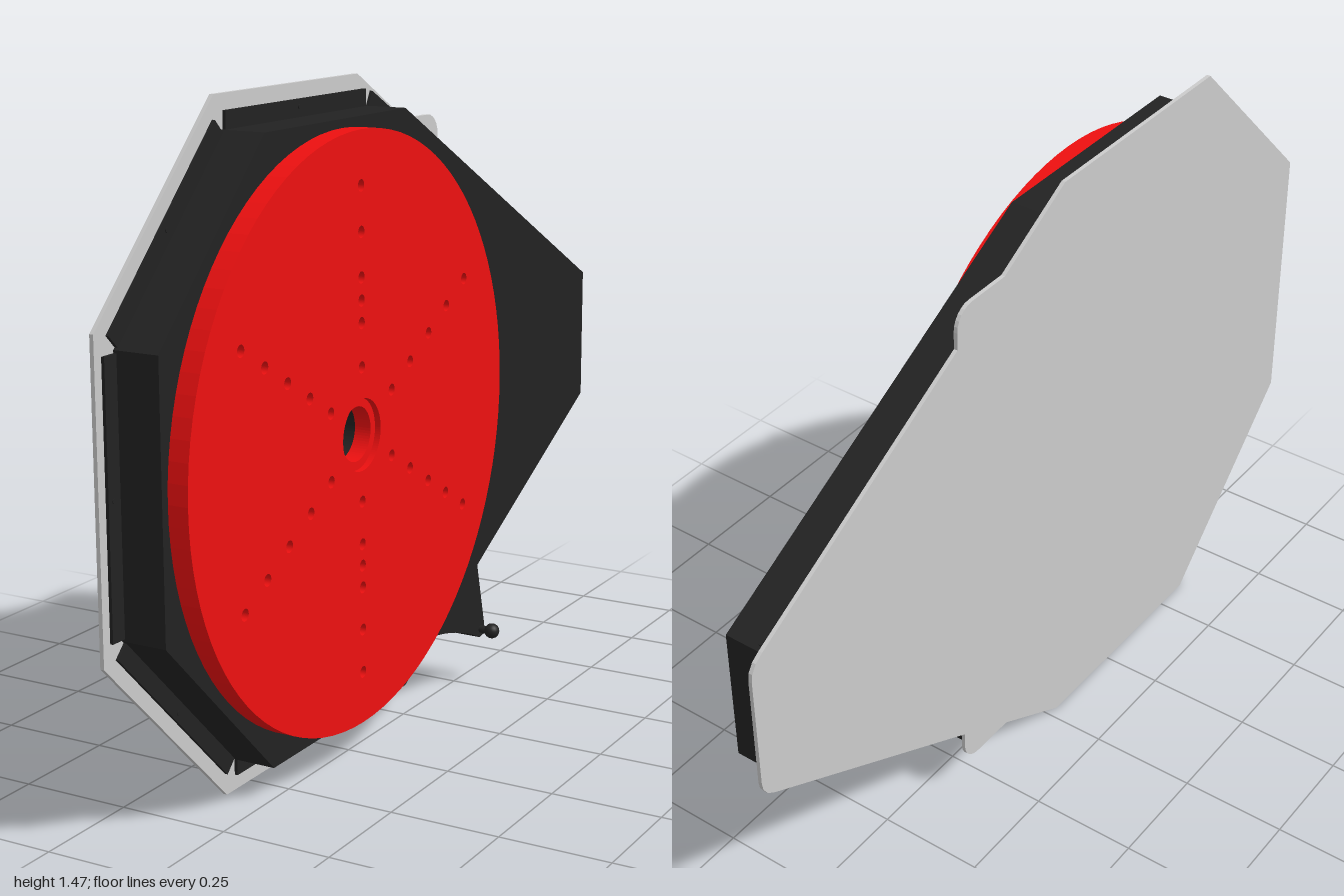
import * as THREE from 'three';

const CY = 0.74, CU = -0.285; // wheel axis; profiles use u = -z, v = y
const black = new THREE.MeshStandardMaterial({ color: 0x222222 });
const red = new THREE.MeshStandardMaterial({ color: 0xee1010 });
const grey = new THREE.MeshStandardMaterial({ color: 0xcccccc });

// Extrude a (u, v) profile sideways from x0 to x1
function slab(name, shape, x0, x1, material, curveSegments = 12) {
  const geo = new THREE.ExtrudeGeometry(shape, { depth: x1 - x0, bevelEnabled: false, curveSegments });
  geo.translate(0, 0, x0);
  geo.rotateY(Math.PI / 2);
  const mesh = new THREE.Mesh(geo, material);
  mesh.name = name;
  return mesh;
}

function circle(u, v, r, Type = THREE.Path) {
  const p = new Type();
  p.absarc(u, v, r, 0, Math.PI * 2, false);
  return p;
}

// Cylinder lying along x
function rod(name, r, x0, x1, y, z, material) {
  const geo = new THREE.CylinderGeometry(r, r, x1 - x0, 20);
  geo.rotateZ(Math.PI / 2);
  const mesh = new THREE.Mesh(geo, material);
  mesh.position.set((x0 + x1) / 2, y, z);
  mesh.name = name;
  return mesh;
}

// Complete an upper half outline with its mirror below the wheel axis
const mirrored = (half) => [
  ...half, ...half.slice().reverse().map(([u, v]) => [u, 2 * CY - v]),
].map(([u, v]) => new THREE.Vector2(u, v));

export function createModel() {
  const group = new THREE.Group();

  // Back plate with rounded ears and rounded tail corners
  const half = [[-1, 1.068], [-0.59, 1.477], [-0.03, 1.477], [0.18, 1.36]];
  for (let i = 0; i <= 6; i++) {
    const a = Math.PI / 2 * (1 - i / 6);
    half.push([0.29 + 0.05 * Math.cos(a), 1.31 + 0.05 * Math.sin(a)]);
  }
  half.push([0.34, 1.27], [0.965, 0.928], [0.985, 0.914], [0.997, 0.895], [1, 0.875]);
  group.add(slab('backPlate', new THREE.Shape(mirrored(half)), -0.107, -0.098, grey));

  // Housing with a bore on the wheel axis
  const body = mirrored([[-0.94, 1.028], [-0.565, 1.405], [0, 1.405], [0.945, 0.9]]);
  const bodyShape = new THREE.Shape(body);
  bodyShape.holes.push(circle(CU, CY, 0.06));
  group.add(slab('housing', bodyShape, -0.098, 0.005, black, 32));

  // Mounting flange and rivets along each housing edge
  body.forEach((a, i) => {
    const b = body[(i + 1) % body.length];
    const dir = b.clone().sub(a).normalize();
    const out = new THREE.Vector2(-dir.y, dir.x);
    const p = a.clone().addScaledVector(dir, 0.006);
    const q = b.clone().addScaledVector(dir, -0.006);
    const flange = new THREE.Shape([
      p, q, q.clone().addScaledVector(out, 0.038), p.clone().addScaledVector(out, 0.038),
    ]);
    group.add(slab('flange', flange, -0.098, -0.091, black));
    const mid = p.clone().add(q).multiplyScalar(0.5).addScaledVector(out, 0.022);
    group.add(rod('rivet', 0.005, -0.092, -0.089, mid.y, -mid.x, black));
  });

  // Thin spacer disc behind the wheel
  const spacer = circle(CU, CY, 0.61, THREE.Shape);
  spacer.holes.push(circle(CU, CY, 0.06));
  group.add(slab('spacerDisc', spacer, 0.005, 0.013, black, 64));

  // Wheel with six rows of drilled holes
  const wheel = circle(CU, CY, 0.648, THREE.Shape);
  wheel.holes.push(circle(CU, CY, 0.079));
  for (let k = 0; k < 6; k++) {
    const a = Math.PI / 6 + k * Math.PI / 3;
    const radii = [0.147, 0.242, 0.339, 0.435, 0.532];
    if (k % 3 === 1) radii.push(0.29);
    for (const r of radii) wheel.holes.push(circle(CU + r * Math.cos(a), CY + r * Math.sin(a), 0.013));
  }
  group.add(slab('wheel', wheel, 0.013, 0.059, red, 48));

  // Recessed hub collar
  const collar = circle(CU, CY, 0.079, THREE.Shape);
  collar.holes.push(circle(CU, CY, 0.06));
  group.add(slab('hubCollar', collar, 0.006, 0.045, red, 32));

  // Pointer hugging the wheel rim
  const pointer = new THREE.Shape();
  pointer.moveTo(0.235, 0.37);
  pointer.quadraticCurveTo(0.152, 0.255, 0.04, 0.19);
  pointer.quadraticCurveTo(0.15, 0.175, 0.265, 0.122);
  pointer.lineTo(0.295, 0.12);
  pointer.lineTo(0.295, 0.145);
  pointer.lineTo(0.24, 0.37);
  group.add(slab('pointer', pointer, 0.015, 0.058, black));

  // Post from the lower ear, stem and ball knob
  group.add(rod('pointerPost', 0.02, -0.098, 0.058, 0.138, -0.275, black));
  group.add(rod('knobStem', 0.009, 0.058, 0.08, 0.138, -0.275, black));
  const knob = new THREE.Mesh(new THREE.SphereGeometry(0.018, 20, 14), black);
  knob.position.set(0.089, 0.138, -0.275);
  knob.name = 'knob';
  group.add(knob);

  return group;
}
